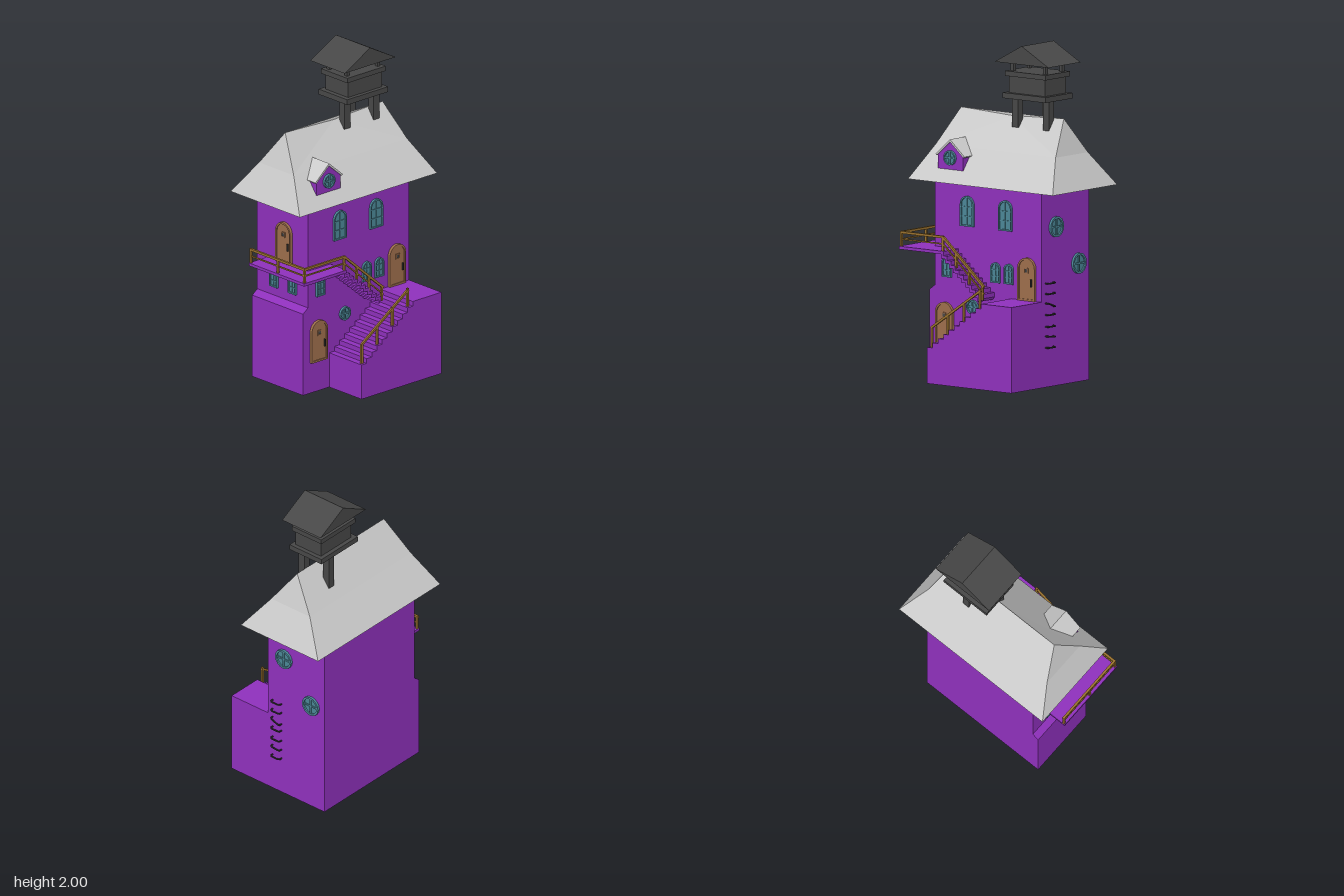
import * as THREE from 'three';

const mat = (color) => new THREE.MeshStandardMaterial({ color, flatShading: true, side: THREE.DoubleSide });

export function createModel() {
  const root = new THREE.Group();
  const purple = mat(0x8e30bb), grey = mat(0xcccccc), dark = mat(0x474747);
  const teal = mat(0x4b8696), wood = mat(0x9c6d4b), railWood = mat(0x99712e), iron = mat(0x333333);

  const group = (name, parent = root) => {
    const g = new THREE.Group();
    g.name = name;
    parent.add(g);
    return g;
  };
  const add = (name, geo, m, parent = root) => {
    const mesh = new THREE.Mesh(geo, m);
    mesh.name = name;
    parent.add(mesh);
    return mesh;
  };
  // Box from its two extreme corners
  const box = (name, [x0, y0, z0], [x1, y1, z1], m, parent) => {
    const mesh = add(name, new THREE.BoxGeometry(x1 - x0, y1 - y0, z1 - z0), m, parent);
    mesh.position.set((x0 + x1) / 2, (y0 + y1) / 2, (z0 + z1) / 2);
    return mesh;
  };
  // Square bar between two points
  const bar = (name, a, b, t, m, parent) => {
    const p = new THREE.Vector3(...a), q = new THREE.Vector3(...b);
    const mesh = add(name, new THREE.BoxGeometry(t, t, p.distanceTo(q)), m, parent);
    mesh.position.copy(p).add(q).multiplyScalar(0.5);
    mesh.lookAt(q);
    return mesh;
  };
  const shapeOf = (pts) => new THREE.Shape(pts.map((p) => new THREE.Vector2(...p)));
  const extrude = (shape, z0, z1) => new THREE.ExtrudeGeometry(shape,
    { depth: z1 - z0, bevelEnabled: false, curveSegments: 8 }).translate(0, 0, z0);
  // Flat-sided surface from convex polygons
  const polygons = (list) => {
    const pos = [];
    for (const f of list)
      for (let i = 1; i < f.length - 1; i++) pos.push(...f[0], ...f[i], ...f[i + 1]);
    const g = new THREE.BufferGeometry();
    g.setAttribute('position', new THREE.Float32BufferAttribute(pos, 3));
    g.computeVertexNormals();
    return g;
  };
  // Ribbon swept along z from an open front-view path
  const ribbon = (path, z0, z1) => polygons(path.slice(1).map((b, i) => {
    const a = path[i];
    return [[...a, z0], [...a, z1], [...b, z1], [...b, z0]];
  }));

  // Tower walls and entrance block with its stairs: a shell open underneath
  const stairPath = [[-0.23, 0]];
  for (let i = 0; i < 10; i++) {
    const y = 0.215 + i * 0.0295;
    stairPath.push([-0.23 + i * 0.041, y], [-0.189 + i * 0.041, y]);
  }
  stairPath.push([0.18, 0.51], [0.41, 0.51]);
  const outline = [[-0.44, 0], [-0.44, 0.51], [-0.4, 0.54], [-0.4, 1.165], [0.41, 1.165], [0.41, 0]];
  const walls = group('walls');
  add('sideWalls', ribbon(outline, -0.32, 0.12), purple, walls);
  add('backWall', new THREE.ShapeGeometry(shapeOf(outline)).rotateY(Math.PI)
    .scale(-1, 1, 1).translate(0, 0, -0.32), purple, walls);
  add('frontWall', new THREE.ShapeGeometry(shapeOf([...outline.slice(0, 5), ...[...stairPath].reverse()]))
    .translate(0, 0, 0.12), purple, walls);
  add('lowerStairs', ribbon([...stairPath, [0.41, 0]], 0.12, 0.4), purple, walls);
  add('lowerStairsFront', new THREE.ShapeGeometry(shapeOf([...stairPath, [0.41, 0]]))
    .translate(0, 0, 0.4), purple, walls);

  // Hipped roof with kinked ends and a sagging ridge
  const half = (s) => {
    const z = (d) => -0.1 + s * d;
    const faces = [
      [[-0.54, 1.165, z(0.3)], [0.56, 1.165, z(0.3)], [0.46, 1.365, z(0.15)], [-0.45, 1.365, z(0.15)]],
      [[0.01, 1.558, -0.1], [-0.38, 1.575, -0.1], [-0.45, 1.365, z(0.15)], [0.46, 1.365, z(0.15)], [0.4, 1.575, -0.1]],
    ];
    return s > 0 ? faces : faces.map((f) => f.reverse());
  };
  const ends = [[-0.54, -0.45, -0.38], [0.56, 0.46, 0.4]].flatMap(([a, b, c], i) => {
    const faces = [
      [[a, 1.165, -0.4], [a, 1.165, 0.2], [b, 1.365, 0.05], [b, 1.365, -0.25]],
      [[b, 1.365, -0.25], [b, 1.365, 0.05], [c, 1.575, -0.1]],
    ];
    return i ? faces.map((f) => f.reverse()) : faces;
  });
  const soffit = [[-0.54, 1.165, -0.4], [0.56, 1.165, -0.4], [0.56, 1.165, 0.2], [-0.54, 1.165, 0.2]];
  add('roof', polygons([...half(1), ...half(-1), ...ends, soffit]), grey);

  // Arched outline, base centred at the origin, and its framed version
  const arch = (w, h, C = THREE.Shape, y0 = 0) => {
    const s = new C(), r = w / 2;
    s.moveTo(-r, y0);
    s.lineTo(r, y0);
    s.lineTo(r, h - r);
    s.absarc(0, h - r, r, 0, Math.PI, false);
    s.closePath();
    return s;
  };
  const archFrame = (w, h, t) => {
    const s = arch(w, h);
    s.holes.push(arch(w - 2 * t, h - t, THREE.Path, t));
    return s;
  };
  const put = (g, [x, y, z], turn = 0) => {
    g.position.set(x, y, z);
    g.rotation.y = turn * Math.PI / 2;
  };

  const archedWindow = (w, h, at, turn) => {
    const g = group('archedWindow');
    add('pane', extrude(arch(w - 0.01, h - 0.005), -0.005, 0.006), teal, g);
    add('frame', extrude(archFrame(w, h, 0.009), -0.005, 0.014), teal, g);
    box('mullion', [-0.003, 0, 0], [0.003, h - 0.005, 0.011], teal, g);
    for (const k of [0.33, 0.64])
      box('crossbar', [-w / 2 + 0.004, h * k - 0.003, 0], [w / 2 - 0.004, h * k + 0.003, 0.011], teal, g);
    put(g, at, turn);
  };
  const roundWindow = (r, at, turn) => {
    const g = group('roundWindow');
    const ring = new THREE.Shape().absarc(0, 0, r, 0, Math.PI * 2);
    ring.holes.push(new THREE.Path().absarc(0, 0, r * 0.8, 0, Math.PI * 2));
    add('pane', new THREE.CylinderGeometry(r * 0.9, r * 0.9, 0.01, 24).rotateX(Math.PI / 2), teal, g);
    add('frame', extrude(ring, -0.005, 0.015), teal, g);
    box('mullion', [-0.005, -r * 0.9, 0], [0.005, r * 0.9, 0.012], teal, g);
    box('crossbar', [-r * 0.9, -0.005, 0], [r * 0.9, 0.005, 0.012], teal, g);
    put(g, at, turn);
  };
  const door = (at, turn) => {
    const g = group('door'), w = 0.13, h = 0.255;
    add('panel', extrude(arch(w - 0.01, h - 0.005), 0.002, 0.012), wood, g);
    add('frame', extrude(archFrame(w, h, 0.011), -0.015, 0.018), wood, g);
    for (const s of [-1, 1]) {
      box('peepholeSide', [s * 0.013 - 0.003, 0.163, 0.01], [s * 0.013 + 0.003, 0.195, 0.017], wood, g);
      box('peepholeEdge', [-0.016, 0.179 + s * 0.013 - 0.003, 0.01], [0.016, 0.179 + s * 0.013 + 0.003, 0.017], wood, g);
    }
    box('peephole', [-0.01, 0.169, 0.01], [0.01, 0.189, 0.014], dark, g);
    box('handle', [0.036, 0.085, 0.01], [0.042, 0.13, 0.022], iron, g);
    put(g, at, turn);
  };

  for (const x of [-0.15, 0.14]) archedWindow(0.1, 0.18, [x, 0.91, 0.12]);
  for (const x of [-0.305, 0.065, 0.165]) archedWindow(0.068, 0.12, [x, 0.595, 0.12]);
  for (const z of [-0.17, -0.01]) archedWindow(0.068, 0.12, [-0.4, 0.595, z], -1);
  roundWindow(0.042, [-0.11, 0.435, 0.12]);
  roundWindow(0.062, [0.41, 0.945, -0.01], 1);
  roundWindow(0.062, [0.41, 0.705, -0.22], 1);
  door([-0.32, 0.19, 0.12]);
  door([0.305, 0.51, 0.12]);
  door([-0.4, 0.77, -0.08], -1);

  // Dormer
  const dormer = group('dormer');
  add('dormerWalls', extrude(shapeOf([[-0.355, 1.24], [-0.165, 1.24], [-0.165, 1.325], [-0.26, 1.405], [-0.355, 1.325]]),
    0.03, 0.145), purple, dormer);
  add('dormerRoof', extrude(shapeOf([[-0.37, 1.325], [-0.362, 1.317], [-0.26, 1.404], [-0.158, 1.317], [-0.15, 1.325], [-0.26, 1.42]]),
    0, 0.152), grey, dormer);
  roundWindow(0.044, [-0.26, 1.31, 0.145]);

  // L-shaped balcony with a flight of open stairs
  const balcony = group('balcony');
  box('balconySide', [-0.56, 0.752, -0.22], [-0.4, 0.77, 0.12], purple, balcony);
  box('balconyFront', [-0.56, 0.752, 0.12], [-0.22, 0.77, 0.26], purple, balcony);
  const zig = [[-0.235, 0.77]];
  for (let i = 0; i < 10; i++) {
    const x = -0.225 + i * 0.031, y = 0.77 - i * 0.026;
    zig.push([x, y], [x, y - 0.026]);
  }
  const under = zig.map(([x, y]) => [x - 0.014, y - 0.018]).reverse();
  add('upperStairs', extrude(shapeOf([...zig, ...under]), 0.12, 0.26), purple, balcony);

  // Railings
  const rails = group('railings');
  const post = (x, y, z, h) => bar('post', [x, y, z], [x, y + h, z], 0.013, railWood, rails);
  const rail = (a, b, t = 0.013) => bar('rail', a, b, t, railWood, rails);
  for (const z of [-0.213, 0.02, 0.25]) post(-0.548, 0.77, z, 0.085);
  for (const [y, t] of [[0.853, 0.014], [0.812, 0.008]]) {
    rail([-0.548, y, -0.22], [-0.548, y, 0.255], t);
    rail([-0.554, y, 0.25], [-0.225, y, 0.25], t);
    rail([-0.23, y, 0.25], [0.08, y - 0.27, 0.25], t);
  }
  for (let i = 0; i < 4; i++) {
    post(-0.231 + i * 0.1, 0.765 - i * 0.087, 0.25, 0.085);
    post(-0.21 + i * 0.122, 0.215 + i * 0.088, 0.38, 0.115);
  }
  rail([-0.215, 0.33, 0.38], [0.162, 0.585, 0.38]);

  // Bent iron rungs up the wall, one of them hanging crooked
  [0.235, 0.3, 0.36, 0.43, 0.487, 0.555, 0.617].forEach((y, i) => {
    const tilt = i === 4 ? 0.011 : i === 1 ? 0.003 : 0;
    const path = new THREE.CatmullRomCurve3([[0.405, 0.082, 1], [0.43, 0.078, 1], [0.433, 0.047, 0], [0.43, 0.016, -1], [0.405, 0.012, -1]]
      .map(([x, z, s]) => new THREE.Vector3(x, y + s * tilt, z)));
    add('rung', new THREE.TubeGeometry(path, 12, 0.005, 6), iron);
  });

  // Lookout on three legs above the ridge
  const lookout = group('lookout');
  for (const [x, z, y] of [[0.072, -0.072, 1.5], [0.305, -0.072, 1.5], [0.212, -0.18, 1.43]])
    box('leg', [x - 0.023, y, z - 0.023], [x + 0.023, 1.68, z + 0.023], dark, lookout);
  box('floor', [0.02, 1.675, -0.243], [0.348, 1.708, 0.005], dark, lookout);
  box('cabin', [0.05, 1.7, -0.217], [0.322, 1.815, -0.02], dark, lookout);
  box('parapet', [0.03, 1.807, -0.233], [0.338, 1.837, -0.005], dark, lookout);
  for (const x of [0.062, 0.307])
    for (const z of [-0.195, -0.043])
      box('roofPost', [x - 0.01, 1.83, z - 0.012], [x + 0.01, 1.9, z + 0.012], dark, lookout);
  add('lookoutRoof', extrude(shapeOf([[-0.022, 1.89], [0.387, 1.89], [0.183, 2]]), -0.27, 0.028), dark, lookout);

  return root;
}
